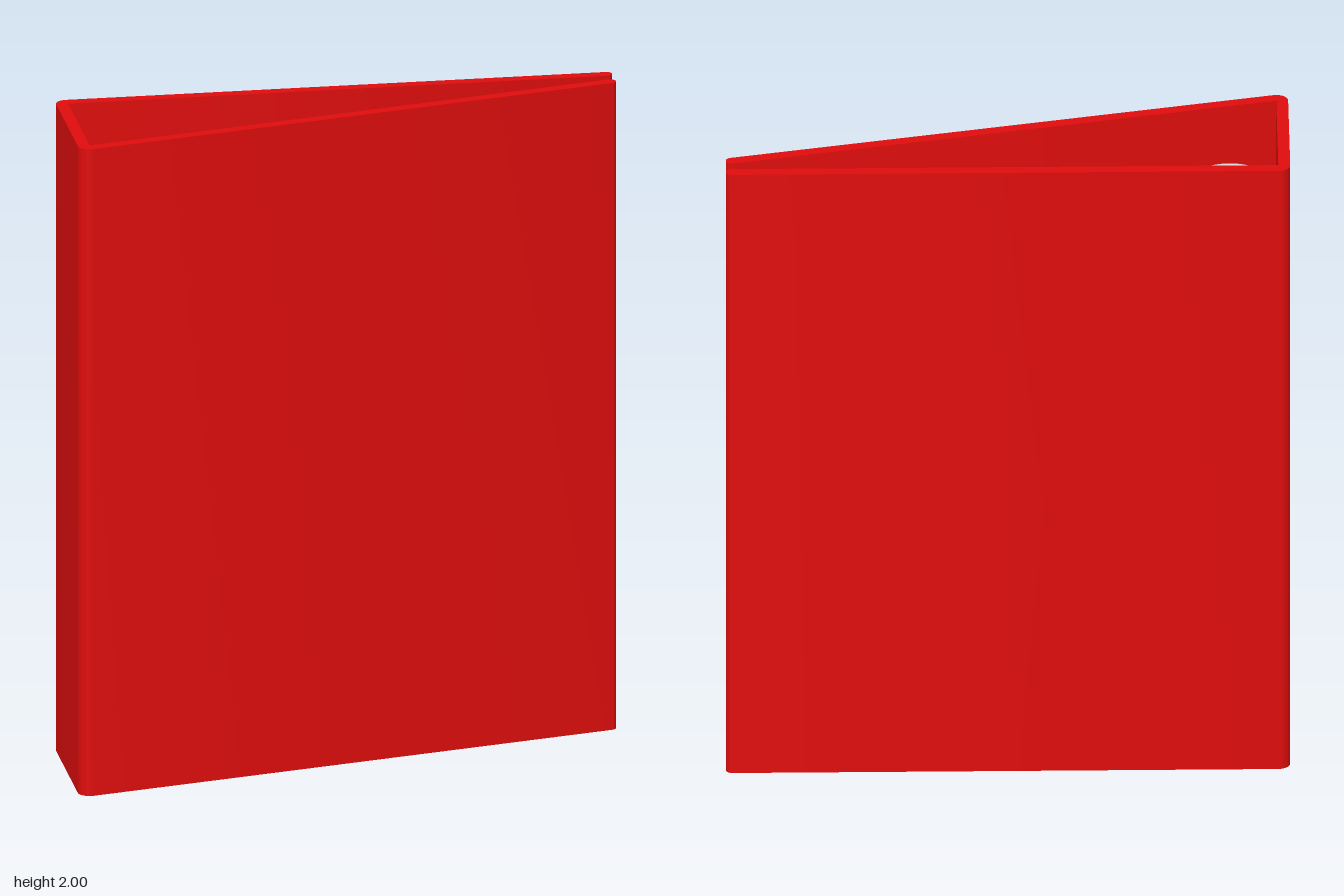
import * as THREE from 'three';
import { toCreasedNormals } from 'three/addons/utils/BufferGeometryUtils.js';

const HEIGHT = 2, T = 0.035, R = T / 2; // cover height, board thickness and half of it

// Folded cover: back board, spine and slanted front board as one outline (shape y = -z)
function coverGeometry() {
  const sx = -0.793, c = 0.197; // inner spine corners at (sx, +-c)
  const ex = 0.806, ey = 0.162; // inner end of the front board
  const a = Math.atan2(ey + c, ex - sx);
  const s = new THREE.Shape();
  s.moveTo(sx - T, c);
  s.lineTo(sx - T, -c);
  s.absarc(sx, -c, T, Math.PI, 1.5 * Math.PI + a, false);
  s.absarc(ex + R * Math.sin(a), ey - R * Math.cos(a), R, a - Math.PI / 2, a + Math.PI / 2, false);
  s.lineTo(sx, -c);
  s.lineTo(sx, c);
  s.absarc(0.81, c + R, R, -Math.PI / 2, Math.PI / 2, false);
  s.absarc(sx, c, T, Math.PI / 2, Math.PI, false);
  const g = new THREE.ExtrudeGeometry(s, { depth: HEIGHT, bevelEnabled: false, curveSegments: 12 });
  g.rotateX(-Math.PI / 2);
  return toCreasedNormals(g, 0.6);
}

// Split wire ring lying flat, open on its +x side, with closed wire ends
function makeRing(name, [x, y, z], radius, gap, material) {
  const wire = 0.006, arc = 2 * Math.PI - gap;
  const ring = new THREE.Group();
  ring.name = name;
  const loop = new THREE.Mesh(new THREE.TorusGeometry(radius, wire, 10, 72, arc), material);
  loop.name = 'ringWire';
  ring.add(loop);
  for (const [angle, turn] of [[0, Math.PI / 2], [arc, -Math.PI / 2]]) {
    const g = new THREE.CircleGeometry(wire, 10);
    g.rotateX(turn);
    g.translate(radius, 0, 0);
    g.rotateZ(angle);
    const cap = new THREE.Mesh(g, material);
    cap.name = 'ringEnd';
    ring.add(cap);
  }
  ring.rotation.x = -Math.PI / 2;
  ring.position.set(x, y, z);
  return ring;
}

export function createModel() {
  const model = new THREE.Group();
  model.name = 'ringBinder';
  const red = new THREE.MeshStandardMaterial({ color: 0xe00d0d });
  const metal = new THREE.MeshStandardMaterial({ color: 0xcccccc });

  const cover = new THREE.Mesh(coverGeometry(), red);
  cover.name = 'cover';
  model.add(cover);

  // Three binder rings beside the spine
  model.add(
    makeRing('lowerRing', [-0.623, 0.075, -0.037], 0.153, 0.2, metal),
    makeRing('middleRing', [-0.65, 1.07, -0.057], 0.125, 0.14, metal),
    makeRing('upperRing', [-0.653, 1.86, -0.06], 0.12, 0.14, metal),
  );
  return model;
}
